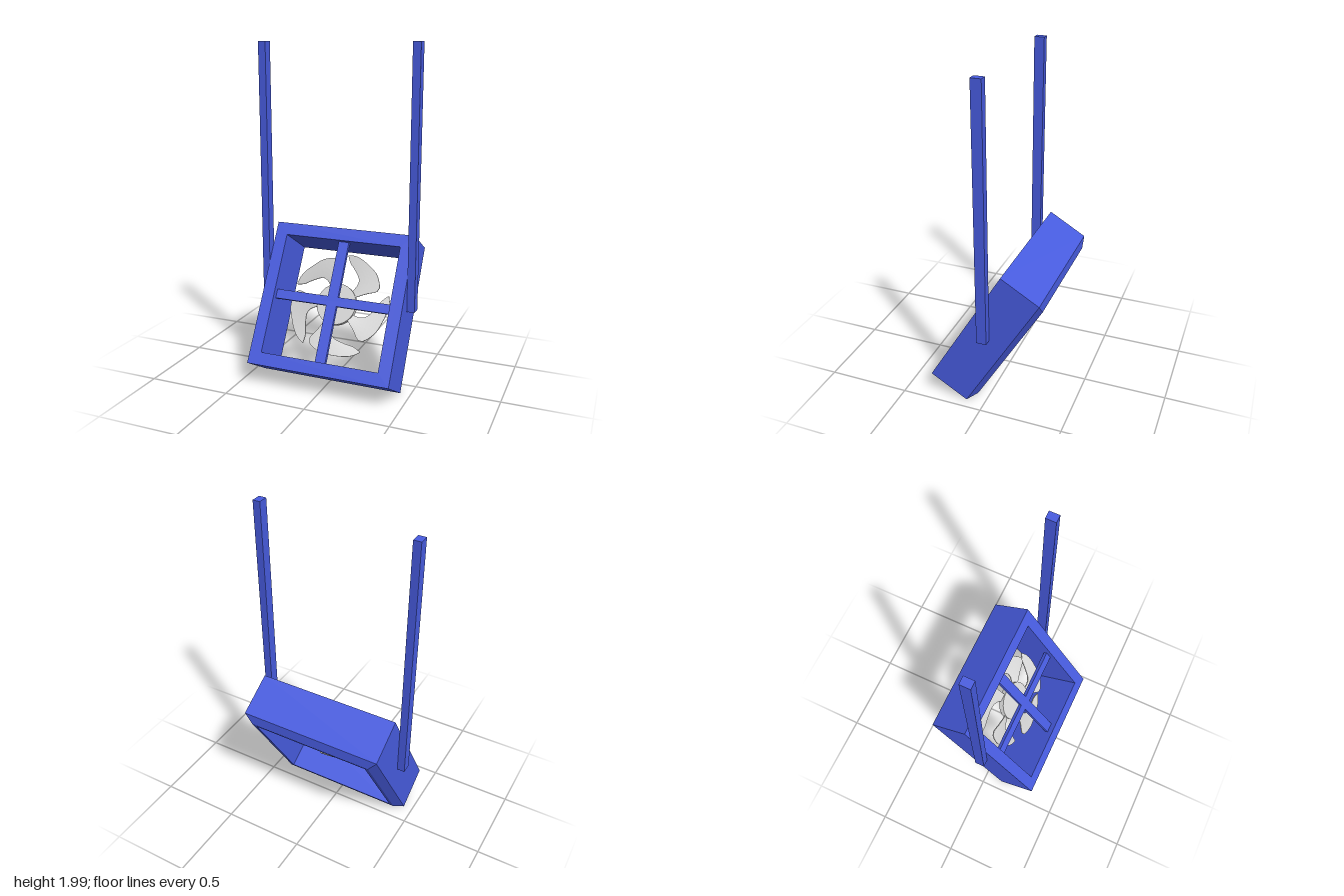
import * as THREE from 'three';

const blue = new THREE.MeshStandardMaterial({ color: 0x485ce0 });
blue.name = 'blue paint';
const grey = new THREE.MeshStandardMaterial({ color: 0xd8d8d8 });
grey.name = 'light grey';

function add(parent, name, geometry, material, x = 0, y = 0, z = 0) {
  const mesh = new THREE.Mesh(geometry, material);
  mesh.name = name;
  mesh.position.set(x, y, z);
  parent.add(mesh);
  return mesh;
}

// Faceted lathe turned so its axis points along z; profile is [radius, z]
function turned(profile, sides, scale = 1, start = 0) {
  const pts = profile.map(([r, z]) => new THREE.Vector2(r * scale, z));
  const g = new THREE.LatheGeometry(pts, sides, start).rotateX(Math.PI / 2).toNonIndexed();
  g.computeVertexNormals();
  return g;
}

// Swept blade: edges given as [degrees from the tip, radius], filled between
function bladeGeometry() {
  const edge = (pts) => new THREE.CatmullRomCurve3(pts.map(([d, r]) => new THREE.Vector3(d, r, 0)));
  const lead = edge([[-63, 0.11], [-64, 0.19], [-66, 0.25], [-50, 0.298], [-30, 0.305], [-10, 0.32], [0, 0.318]]);
  const trail = edge([[-42, 0.11], [-38, 0.17], [-16, 0.235], [-4, 0.275], [0, 0.312]]);
  const rows = 20, cols = 6, ring = 2 * (cols + 1);
  const pos = [], idx = [];
  for (let i = 0; i <= rows; i++) {
    const a = lead.getPoint(i / rows), b = trail.getPoint(i / rows);
    for (let j = 0; j < ring; j++) {
      const front = j <= cols;
      const p = a.clone().lerp(b, (front ? j : ring - 1 - j) / cols);
      const angle = THREE.MathUtils.degToRad(p.x);
      const pitch = 0.047 * Math.pow(Math.max(0, (p.x + 66) / 66), 1.3);
      pos.push(p.y * Math.cos(angle), p.y * Math.sin(angle), -0.125 - pitch + (front ? 0.003 : -0.003));
    }
  }
  for (let i = 0; i < rows; i++) {
    for (let j = 0; j < ring; j++) {
      const k = (j + 1) % ring, o = i * ring, n = o + ring;
      idx.push(o + j, n + j, o + k, n + j, n + k, o + k);
    }
  }
  // Close the tip
  const last = rows * ring;
  for (let j = 1; j < ring - 1; j++) idx.push(last, last + j + 1, last + j);
  const indexed = new THREE.BufferGeometry();
  indexed.setAttribute('position', new THREE.Float32BufferAttribute(pos, 3));
  indexed.setIndex(idx);
  const g = indexed.toNonIndexed();
  g.computeVertexNormals();
  return g;
}

export function createModel() {
  const model = new THREE.Group();
  model.name = 'hangingFan';

  // Two hanging rods
  for (const side of [-1, 1]) {
    add(model, side > 0 ? 'leftRod' : 'rightRod', new THREE.BoxGeometry(0.046, 1.525, 0.06), blue,
      -0.0025 + side * 0.4645, 1.2375, -0.01);
  }

  // Tilted housing; its origin is the centre of the front face
  const housing = new THREE.Group();
  housing.name = 'housing';
  housing.position.set(-0.0025, 0.519, 0.115);
  housing.rotation.x = -THREE.MathUtils.degToRad(30.5);
  model.add(housing);

  // Square frame with a bevelled back rim
  const frame = [[0.391, -0.296], [0.4415, -0.262], [0.4415, 0], [0.366, 0], [0.366, -0.296], [0.391, -0.296]];
  add(housing, 'frame', turned(frame, 4, Math.SQRT2, Math.PI / 4), blue);

  // Cross bars, set back from the front
  add(housing, 'horizontalBar', new THREE.BoxGeometry(0.735, 0.056, 0.023), blue, 0, 0, -0.0465);
  add(housing, 'verticalBar', new THREE.BoxGeometry(0.065, 0.735, 0.023), blue, 0, 0, -0.0465);

  // Fan with a hollow tapering hub
  const fan = new THREE.Group();
  fan.name = 'fan';
  fan.position.x = -0.003;
  housing.add(fan);
  const hub = [[0, -0.15], [0.06, -0.15], [0.06, -0.19], [0.07, -0.19], [0.125, -0.15], [0.125, -0.118], [0, -0.118]];
  add(fan, 'hub', turned(hub, 32), grey);

  const blade = bladeGeometry();
  for (let i = 0; i < 5; i++) {
    add(fan, 'blade', blade, grey).rotation.z = THREE.MathUtils.degToRad(18 + i * 72);
  }
  return model;
}
